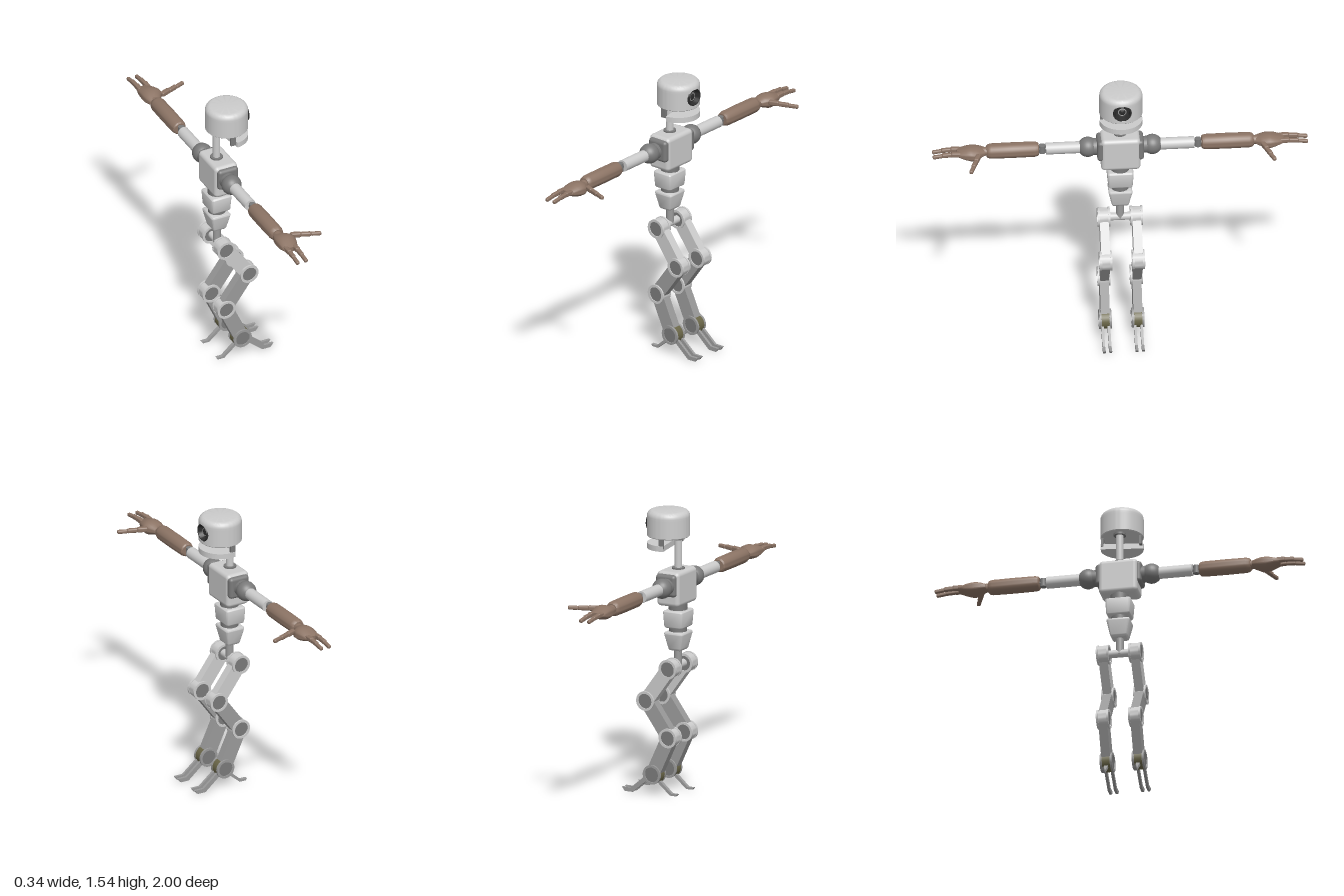
import * as THREE from 'three';
import { toCreasedNormals } from 'three/addons/utils/BufferGeometryUtils.js';
import { RoundedBoxGeometry } from 'three/addons/geometries/RoundedBoxGeometry.js';

const mat = (color) => new THREE.MeshStandardMaterial({ color });
const grey = mat(0xcccccc), mid = mat(0x9a9a9a), dark = mat(0x7a7a7a);
const black = mat(0x2c2c2c), brown = mat(0x8c7465), olive = mat(0x6a6648);
const CX = -0.11; // body axis; the figure faces +x

export function createModel() {
  const root = new THREE.Group();
  const add = (name, geo, m, x = 0, y = 0, z = 0, parent = root) => {
    const mesh = new THREE.Mesh(geo, m);
    mesh.name = name;
    mesh.position.set(x, y, z);
    parent.add(mesh);
    return mesh;
  };
  const group = (name) => {
    const g = new THREE.Group();
    g.name = name;
    root.add(g);
    return g;
  };
  // Turned part from [radius, height] points, listed from bottom to top
  const turned = (pts, seg = 32) => toCreasedNormals(
    new THREE.LatheGeometry(pts.map(([r, y]) => new THREE.Vector2(r, y)), seg), 0.6);
  const cyl = (r, h, r2 = r) => new THREE.CylinderGeometry(r, r2, h, 28);
  // Rounded block whose lower end is scaled by (bx, bz)
  const taperedBlock = (w, h, d, bx, bz) => {
    const g = new RoundedBoxGeometry(w, h, d, 3, 0.014), p = g.attributes.position;
    for (let i = 0; i < p.count; i++) {
      const t = 0.5 - p.getY(i) / h;
      p.setX(i, p.getX(i) * (1 + (bx - 1) * t));
      p.setZ(i, p.getZ(i) * (1 + (bz - 1) * t));
    }
    return toCreasedNormals(g, 0.7);
  };

  // Head: round-topped drum, its wall pushed in to form the eye socket
  const HX = -0.052, EYE_Y = 1.465;
  const profile = [[0, 1.4], [0.111, 1.4], [0.115, 1.404]];
  for (let i = 1; i <= 20; i++) profile.push([0.115, 1.404 + i * 0.0053]);
  for (let i = 1; i <= 6; i++) {
    const a = (i / 6) * Math.PI / 2;
    profile.push([0.085 + 0.03 * Math.cos(a), 1.51 + 0.032 * Math.sin(a)]);
  }
  profile.push([0, 1.542]);
  const headGeo = new THREE.LatheGeometry(profile.map(([r, y]) => new THREE.Vector2(r, y)), 96);
  const hp = headGeo.attributes.position;
  for (let i = 0; i < hp.count; i++) {
    if (hp.getX(i) > 0.05 && Math.hypot(hp.getY(i) - EYE_Y, hp.getZ(i)) < 0.044) hp.setX(i, 0.06);
  }
  add('head', toCreasedNormals(headGeo, 0.6), grey, HX);
  const eye = add('eyeSocket', turned([[0, -0.045], [0.05, -0.045], [0.05, 0.003], [0.047, 0.009],
    [0.042, 0.009], [0.036, -0.016], [0.02, -0.02], [0.02, -0.01], [0.014, -0.006], [0, -0.004]]), black, 0.052, EYE_Y, 0);
  eye.rotation.z = -Math.PI / 2;
  const ring = add('eyeRing', new THREE.TorusGeometry(0.02, 0.003, 8, 32), mid, 0.042, EYE_Y, 0);
  ring.rotation.y = Math.PI / 2;

  // Jaw: half-round plate hung from two posts
  const jawShape = new THREE.Shape();
  jawShape.moveTo(-0.028, -0.111);
  jawShape.absarc(0, 0, 0.115, -1.5, 1.5, false);
  jawShape.lineTo(-0.028, 0.111);
  jawShape.closePath();
  const jawGeo = new THREE.ExtrudeGeometry(jawShape, { depth: 0.03, bevelEnabled: false, curveSegments: 32 });
  jawGeo.rotateX(-Math.PI / 2);
  add('jaw', toCreasedNormals(jawGeo, 0.5), grey, HX, 1.335, 0);
  for (const s of [1, -1]) {
    add('jawPost', new THREE.BoxGeometry(0.028, 0.06, 0.014), dark, -0.066, 1.38, s * 0.103);
  }

  // Neck, chest and stacked waist
  add('neck', cyl(0.02, 0.2), grey, CX - 0.002, 1.31);
  add('neckCap', cyl(0.033, 0.014), dark, CX - 0.002, 1.395);
  add('neckBase', cyl(0.034, 0.014), dark, CX - 0.002, 1.228);
  add('chest', new RoundedBoxGeometry(0.136, 0.19, 0.21, 4, 0.022), grey, -0.103, 1.132);
  add('upperWaistJoint', cyl(0.05, 0.06), dark, CX, 1.02);
  add('upperAbdomen', taperedBlock(0.12, 0.097, 0.142, 0.9, 0.9), grey, CX - 0.002, 0.957);
  add('lowerWaistJoint', cyl(0.048, 0.04), dark, CX, 0.9);
  add('lowerAbdomen', taperedBlock(0.118, 0.103, 0.132, 0.62, 0.66), grey, CX - 0.002, 0.836);
  add('pelvisPost', cyl(0.021, 0.11), mid, CX, 0.745);
  add('hipBar', cyl(0.021, 0.13).rotateX(Math.PI / 2), grey, CX, 0.7);

  for (const s of [1, -1]) {
    const side = s > 0 ? 'right' : 'left';
    buildArm(s, group(side + 'Arm'));
    buildLeg(s, group(side + 'Leg'));
  }

  function buildArm(s, arm) {
    const Y = 1.152;
    const put = (name, geo, m, z, x = CX, y = Y) => add(name, geo, m, x, y, s * z, arm);
    const along = (geo) => geo.rotateX(s * Math.PI / 2); // +y becomes outward
    put('shoulderPlate', new RoundedBoxGeometry(0.12, 0.12, 0.05, 3, 0.018), dark, 0.1, -0.1, 1.155);
    put('shoulderCollar', along(cyl(0.045, 0.04)), dark, 0.128);
    put('shoulderBall', new THREE.SphereGeometry(0.054, 28, 20), dark, 0.172);
    put('upperArm', along(cyl(0.032, 0.2)), grey, 0.295);
    put('elbowPin', cyl(0.018, 0.046), dark, 0.415);
    put('elbowLink', along(cyl(0.011, 0.06)), dark, 0.415);
    put('forearm', along(turned([[0, -0.14], [0.03, -0.14], [0.037, -0.134], [0.041, -0.118], [0.042, 0],
      [0.041, 0.115], [0.037, 0.131], [0.03, 0.138], [0, 0.138]])), brown, 0.573);
    put('wrist', along(cyl(0.024, 0.04)), brown, 0.718);

    // Palm: cross-sections as [half width, half height, shift in x]
    const rows = [[0.033, 0.019, 0], [0.045, 0.029, 0.003], [0.058, 0.037, 0.011],
      [0.057, 0.038, 0.01], [0.053, 0.032, 0.007], [0.046, 0.023, 0.004], [0.036, 0.014, 0]];
    const palm = new THREE.CylinderGeometry(1, 1, 0.15, 24, rows.length - 1), p = palm.attributes.position;
    for (let i = 0; i < p.count; i++) {
      const [w, h, dx] = rows[Math.round((p.getY(i) / 0.15 + 0.5) * (rows.length - 1))];
      p.setX(i, p.getX(i) * w + dx);
      p.setZ(i, p.getZ(i) * h);
    }
    put('palm', along(toCreasedNormals(palm, 0.9)), brown, 0.797);

    // Two fingers of three arched joints, and a thumb pointing forward
    for (const x of [-0.132, -0.083]) {
      [[0.875, 1.157, 0.026], [0.924, 1.155, 0.023], [0.973, 1.148, 0.02]].forEach(([z, y, w], i) => {
        const f = put('fingerJoint', new RoundedBoxGeometry(w, w, 0.054, 3, 0.007), brown, z, x, y);
        f.rotation.x = s * (i - 0.5) * 0.09;
      });
    }
    for (let i = 0; i < 3; i++) {
      const t = 0.17 + i * 0.335;
      const w = 0.027 - i * 0.003;
      const f = put('thumbJoint', new RoundedBoxGeometry(0.058, w, w, 3, 0.008), brown,
        0.757 + 0.052 * t, -0.055 + 0.153 * t, 1.162 - 0.004 * t);
      f.rotation.y = -s * 0.36;
    }
  }

  function buildLeg(s, leg) {
    const Z = s * 0.087;
    const joints = [[-0.112, 0.698], [0.025, 0.51], [-0.112, 0.322], [-0.015, 0.112]];
    const names = ['hip', 'knee', 'hock', 'ankle'];
    joints.forEach(([x, y], i) => {
      // Joint drum with a recessed disc on both faces
      add(names[i] + 'Joint', turned([[0.04, -0.026], [0.04, -0.033], [0.053, -0.033], [0.053, -0.022],
        [0.05, -0.022], [0.05, 0.022], [0.053, 0.022], [0.053, 0.033], [0.04, 0.033], [0.04, 0.026]])
        .rotateX(Math.PI / 2), i === 3 ? mid : grey, x, y, Z, leg);
      add(names[i] + 'Disc', cyl(0.04, 0.056).rotateX(Math.PI / 2), dark, x, y, Z, leg);
      if (i === 3) add('ankleCore', cyl(0.0515, 0.042).rotateX(Math.PI / 2), olive, x, y, Z, leg);
      if (i === 0) return;
      const [px, py] = joints[i - 1];
      const link = add(['thigh', 'shin', 'lowerShin'][i - 1],
        new THREE.BoxGeometry(Math.hypot(x - px, y - py), 0.08, 0.048),
        i === 1 ? grey : mid, (x + px) / 2, (y + py) / 2, Z, leg);
      link.rotation.z = Math.atan2(y - py, x - px);
    });

    // Bent flat toes: two in front, one slim heel behind
    const toe = (name, pts, width, z) => {
      const shape = new THREE.Shape(pts.map(([x, y]) => new THREE.Vector2(x, y)));
      const geo = new THREE.ExtrudeGeometry(shape, { depth: width, bevelEnabled: false });
      add(name, geo.translate(0, 0, -width / 2), mid, 0, 0, z, leg);
    };
    for (const dz of [-0.017, 0.017]) {
      toe('frontToe', [[-0.01, 0.1], [0.105, 0.003], [0.153, 0.003], [0.17, 0.025], [0.118, 0.025], [0.01, 0.115]],
        0.014, Z + dz);
    }
    toe('heelToe', [[-0.03, 0.1], [-0.124, 0.017], [-0.16, 0.017], [-0.152, 0.006], [-0.115, 0.006], [-0.018, 0.088]],
      0.02, Z);
  }

  // Rest the toes on the ground
  root.children.forEach((c) => { c.position.y -= 0.003; });
  return root;
}
